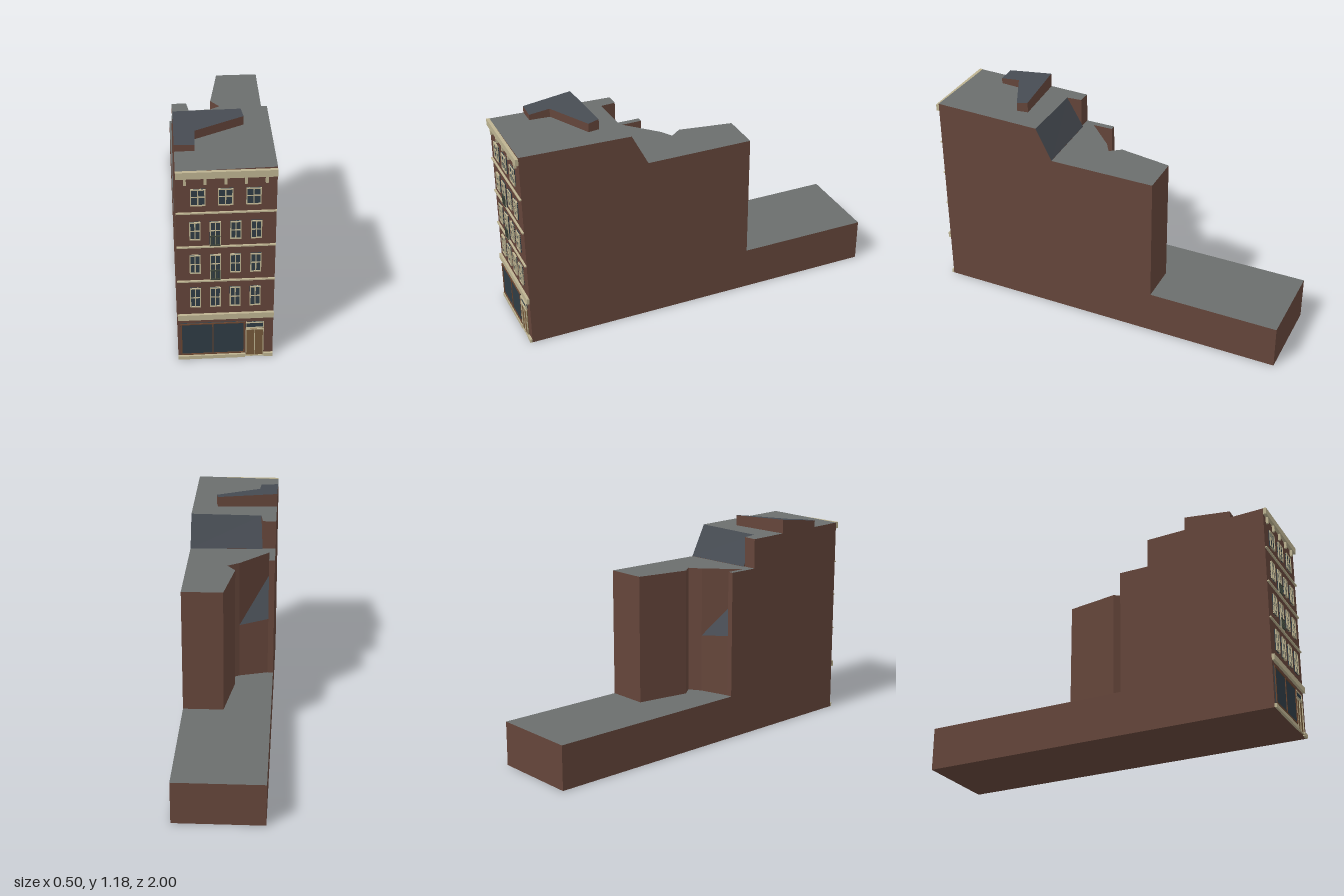
import * as THREE from 'three';

const mat = (color) => new THREE.MeshStandardMaterial({ color, flatShading: true });
const brick = mat(0x64453a), roof = mat(0x6b6e6d), slate = mat(0x464b52);
const cream = mat(0xbdb391), glass = mat(0x2f3c45), wood = mat(0x75593a), darkWood = mat(0x6a4630), iron = mat(0x3a4238);

const WALL = 0.983;                        // plane of the front wall
const left = (z) => -0.24 - 0.01 * z;      // the plot is slightly skewed
const right = (z) => 0.237 - 0.012 * z;
const roofY = (x, z) => 1.12 + 0.021 * x + 0.022 * (z - 0.98);

// Solid over an [x, z] footprint, with a flat or sloping top given by topY(x, z)
function prism(name, footprint, y0, topY, topMat) {
  const shape = new THREE.Shape(footprint.map(([x, z]) => new THREE.Vector2(x, -z)));
  const geo = new THREE.ExtrudeGeometry(shape, { depth: 1, bevelEnabled: false });
  geo.rotateX(-Math.PI / 2);
  const p = geo.attributes.position;
  for (let i = 0; i < p.count; i++) {
    p.setY(i, p.getY(i) > 0.5 ? topY(p.getX(i), p.getZ(i)) : y0);
  }
  const caps = geo.groups[0].count;
  geo.clearGroups();
  geo.addGroup(0, caps / 2, 1);
  geo.addGroup(caps / 2, caps / 2, 0);
  geo.addGroup(caps, p.count - caps, 1);
  geo.computeVertexNormals();
  const mesh = new THREE.Mesh(geo, [topMat, brick]);
  mesh.name = name;
  return mesh;
}

// Box standing out from the front wall by a given depth
function relief(name, x0, x1, y0, y1, depth, material) {
  const mesh = new THREE.Mesh(new THREE.BoxGeometry(x1 - x0, y1 - y0, depth), material);
  mesh.position.set((x0 + x1) / 2, (y0 + y1) / 2, WALL + depth / 2);
  mesh.name = name;
  return mesh;
}

// Glazed opening with a frame, an upright bar and an optional cross bar at yCross
function glazing(name, x0, x1, y0, y1, { yCross, upright = true, frame = cream, pane = glass, t = 0.005 } = {}) {
  const g = new THREE.Group(), xm = (x0 + x1) / 2, d = 0.01;
  g.name = name;
  g.add(
    relief('pane', x0, x1, y0, y1, 0.005, pane),
    relief('frameLeft', x0, x0 + t, y0, y1, d, frame),
    relief('frameRight', x1 - t, x1, y0, y1, d, frame),
    relief('frameBottom', x0 + t, x1 - t, y0, y0 + t, d, frame),
    relief('frameTop', x0 + t, x1 - t, y1 - t, y1, d, frame));
  if (upright) g.add(relief('uprightBar', xm - t / 2, xm + t / 2, y0 + t, y1 - t, d - 0.001, frame));
  if (yCross) g.add(relief('crossBar', x0 + t, x1 - t, yCross - t / 2, yCross + t / 2, d - 0.002, frame));
  return g;
}

function railing(xc, y0, y1) {
  const g = new THREE.Group();
  g.name = 'balconyRailing';
  for (const y of [y0, y1]) g.add(relief('rail', xc - 0.025, xc + 0.025, y - 0.002, y + 0.002, 0.014, iron));
  for (let i = 0; i <= 8; i++) {
    const x = xc - 0.024 + i * 0.006;
    g.add(relief('baluster', x - 0.0008, x + 0.0008, y0, y1, 0.013, iron));
  }
  return g;
}

function createBody() {
  const g = new THREE.Group();
  g.name = 'body';
  const flat = (y) => () => y;

  g.add(prism('groundFloor', [
    [left(-1), -1], [right(-1), -1], [right(WALL), WALL], [left(WALL), WALL],
  ], 0, flat(0.24), roof));

  // Upper floors with the light well cut into the rear side
  g.add(prism('upperFloors', [
    [left(WALL), WALL], [right(WALL), WALL], [right(-0.28), -0.28], [0.02, -0.28], [-0.03, 0.01],
    [0.015, 0.07], [-0.05, 0.11], [-0.21, 0.265], [-0.21, 0.155], [left(0.155), 0.155],
  ], 0.24, flat(0.938), roof));

  g.add(prism('lightWellLeanTo', [[-0.05, 0.11], [-0.21, 0.155], [-0.21, 0.265]], 0.24,
    (x, z) => (z < 0.13 ? 0.56 : z < 0.2 ? 0.58 : 0.8), slate));

  g.add(prism('topFloor', [
    [left(WALL), WALL], [right(WALL), WALL], [right(0.39), 0.39], [-0.16, 0.4], [-0.17, 0.32], [left(0.32), 0.32],
  ], 0.938, roofY, roof));

  g.add(prism('rearRoofSlope', [[-0.17, 0.312], [right(0.302), 0.302], [right(0.39), 0.39], [-0.16, 0.4]], 0.938,
    (x, z) => (z < 0.35 ? 0.939 : roofY(x, z)), slate));

  g.add(prism('roofHouse', [
    [left(0.54), 0.54], [0.09, 0.51], [0.1, 0.57], [-0.145, 0.69], [-0.15, 0.8], [left(0.8), 0.8],
  ], 1.1, (x, z) => 1.182 - 0.05 * (x + 0.25) - 0.13 * (z - 0.54), slate));
  return g;
}

function createFacade() {
  const g = new THREE.Group();
  g.name = 'facade';
  const L = left(WALL), R = right(WALL);

  // Plinth, floor bands and cornice
  g.add(relief('plinthLeft', L, 0.087, 0, 0.02, 0.012, cream), relief('plinthRight', 0.179, R, 0, 0.02, 0.012, cream));
  g.add(relief('shopBand', L, R, 0.251, 0.283, 0.014, cream));
  for (const y of [0.487, 0.69, 0.885]) g.add(relief('floorBand', L, R, y - 0.0035, y + 0.0035, 0.01, cream));
  g.add(relief('cornice', L, R, 1.081, 1.117, 0.017, cream));
  for (let i = 0; i < 5; i++) {
    const x = -0.207 + i * 0.0957;
    g.add(relief('bracket', x - 0.0065, x + 0.0065, 1.045, 1.081, 0.013, cream));
  }

  // Shop front and entrance
  g.add(glazing('shopWindow', -0.236, 0.083, 0.027, 0.225, { frame: darkWood, t: 0.006 }));
  g.add(glazing('entranceDoor', 0.088, 0.178, 0.004, 0.178, { pane: wood, t: 0.004 }));
  g.add(glazing('doorTransom', 0.088, 0.178, 0.184, 0.22, { upright: false, t: 0.004 }));

  // Three floors of four windows; the second column has balcony doors on two of them
  const floors = [[0.329, 0.445], [0.535, 0.643, 0.495], [0.733, 0.834, 0.697]];
  for (const [y0, y1, doorY] of floors) {
    [-0.161, -0.064, 0.033, 0.131].forEach((x, i) => {
      const tall = doorY && i === 1;
      g.add(glazing(tall ? 'balconyDoor' : 'window', x - 0.0265, x + 0.0265, tall ? doorY : y0, y1,
        { yCross: (y0 + y1) / 2 }));
      if (tall) g.add(railing(x, doorY + 0.004, doorY + 0.056));
    });
  }
  for (const x of [-0.146, -0.016, 0.116]) {
    g.add(glazing('topWindow', x - 0.0355, x + 0.0355, 0.927, 1.018, { yCross: 0.975 }));
  }
  return g;
}

export function createModel() {
  const model = new THREE.Group();
  model.name = 'townHouse';
  model.add(createBody(), createFacade());
  return model;
}
